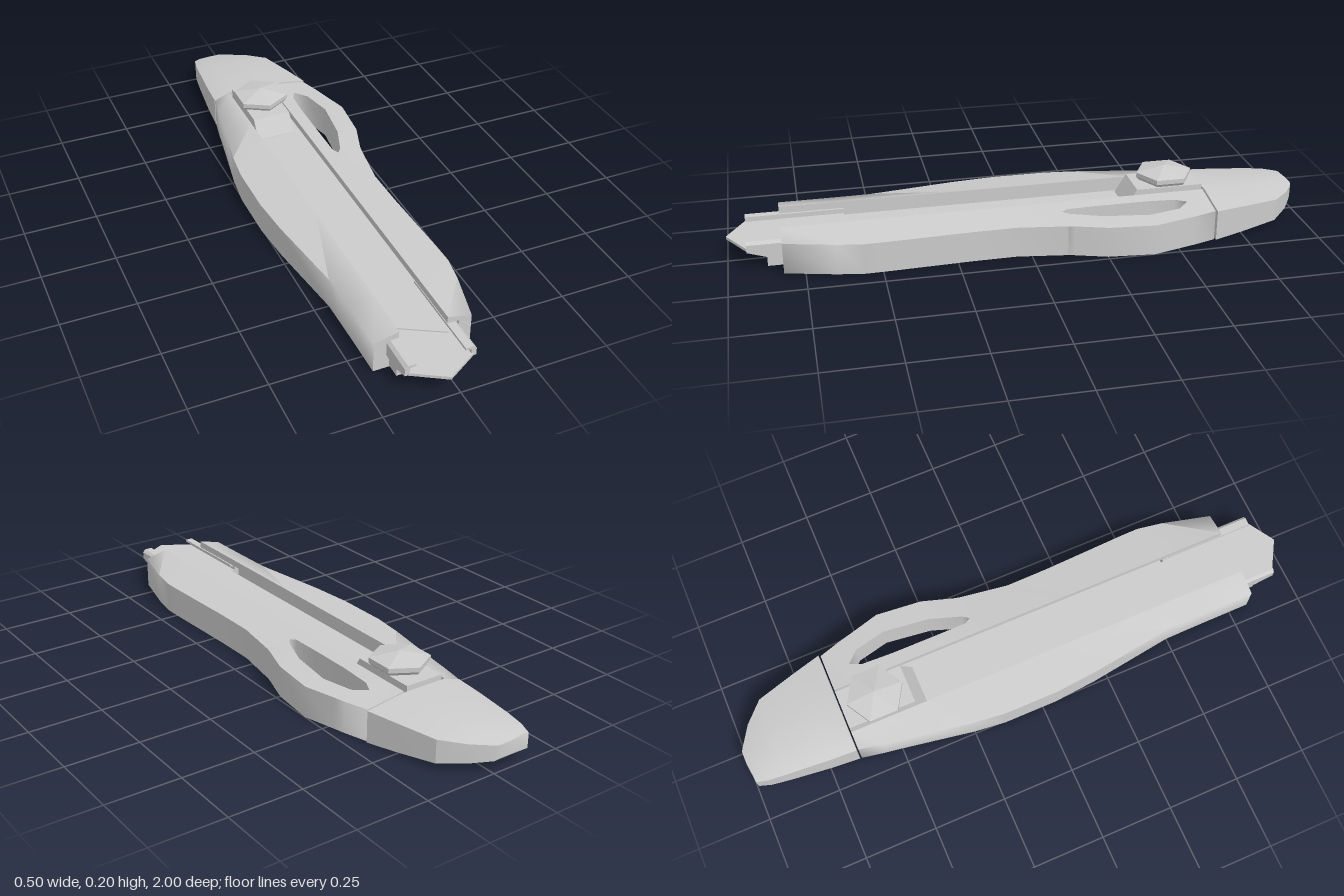
import * as THREE from 'three';
import { mergeGeometries, toCreasedNormals } from 'three/addons/utils/BufferGeometryUtils.js';

const CX = -0.035; // centre line of the blade channel
const grey = new THREE.MeshStandardMaterial({ color: 0xcccccc });

// Joins cross-sections [z, [[x, y], ...]] running towards +z; rings are anticlockwise seen from +z
function loft(sections) {
  const n = sections[0][1].length;
  const pos = [];
  const index = [];
  for (const [z, ring] of sections) for (const [x, y] of ring) pos.push(x, y, z);
  for (let k = 0; k < sections.length - 1; k++) {
    for (let i = 0; i < n; i++) {
      const a = k * n + i, b = k * n + (i + 1) % n;
      index.push(a, b, b + n, a, b + n, a + n);
    }
  }
  const cap = (ring) => THREE.ShapeUtils.triangulateShape(ring.map(([x, y]) => new THREE.Vector2(x, y)), []);
  const last = (sections.length - 1) * n;
  for (const [a, b, c] of cap(sections[0][1])) index.push(a, c, b);
  for (const [a, b, c] of cap(sections[sections.length - 1][1])) index.push(last + a, last + b, last + c);
  const g = new THREE.BufferGeometry();
  g.setAttribute('position', new THREE.Float32BufferAttribute(pos, 3));
  g.setIndex(index);
  return g.toNonIndexed();
}

// Flat plate with an [x, z] outline between two heights
function plate(points, y0, y1) {
  const shape = new THREE.Shape(points.map(([x, z]) => new THREE.Vector2(x, -z)));
  return new THREE.ExtrudeGeometry(shape, { depth: y1 - y0, bevelEnabled: false })
    .rotateX(-Math.PI / 2).translate(0, y0, 0);
}

// Points for one side of the channel plus their mirror image, given as [distance from CX, y]
const mirrored = (half) => [
  ...half.map(([d, y]) => [CX + d, y]),
  ...half.slice().reverse().map(([d, y]) => [CX - d, y]),
];

export function createModel() {
  const model = new THREE.Group();
  const add = (name, geometry, crease = 0.5) => {
    const mesh = new THREE.Mesh(toCreasedNormals(geometry, crease), grey);
    mesh.name = name;
    model.add(mesh);
  };

  // Handle: T-slot section, narrowed beside the finger hole, with a bar around the hole
  const slot = mirrored([[0.08, 0.128], [0.08, 0.104], [0.12, 0.102], [0.12, 0.042]]);
  const topY = (x, R) => 0.128 - 0.02 * (x - 0.045) / (R - 0.045);
  const bodyRing = (L, edge, R) => [
    [L, 0], [edge, 0], [edge, topY(edge, R)], ...slot, [L, 0.108],
  ];
  // z, left edge, right edge
  const rear = [[-0.64, -0.175, 0.185], [-0.56, -0.19, 0.21]];
  const front = [
    [-0.12, -0.255, 0.195], [0.05, -0.255, 0.17], [0.2, -0.242, 0.172],
    [0.5, -0.2, 0.184], [0.56, -0.199, 0.185], [0.65, -0.198, 0.17], [0.82, -0.197, 0.127],
  ];
  // z, left edge, hole inner edge, hole outer edge, right edge
  const hole = [
    [-0.56, -0.19, 0.115, 0.116, 0.21], [-0.52, -0.196, 0.097, 0.155, 0.22],
    [-0.41, -0.215, 0.092, 0.18, 0.25], [-0.25, -0.243, 0.092, 0.16, 0.235],
    [-0.14, -0.255, 0.093, 0.122, 0.2], [-0.12, -0.255, 0.105, 0.106, 0.195],
  ];
  const solid = ([z, L, R]) => [z, bodyRing(L, R, R)];
  const body = loft([
    ...rear.map(solid),
    ...hole.map(([z, L, inner, , R]) => [z, bodyRing(L, inner, R)]),
    ...front.map(solid),
  ]);
  const bar = loft(hole.map(([z, , , outer, R]) => [z, [
    [outer, 0], [R, 0], [R, 0.108], [outer, topY(outer, R)],
  ]]));
  add('handle', mergeGeometries([body, bar]), 1.4);
  add('handleTongue', plate([[-0.145, 0.81], [0.075, 0.81], [0.075, 0.87], [-0.145, 0.87]], 0.006, 0.042));

  // End cap, crowned on top and tapering to a rounded tail
  // z, left, right, bottom, edge height, crown height
  const capStations = [
    [-1, -0.07, -0.02, 0.045, 0.089, 0.091], [-0.992, -0.138, -0.005, 0.036, 0.088, 0.094],
    [-0.95, -0.15, 0.06, 0.03, 0.094, 0.104], [-0.885, -0.157, 0.125, 0.021, 0.1, 0.114],
    [-0.75, -0.169, 0.163, 0.008, 0.105, 0.124], [-0.646, -0.175, 0.19, 0, 0.108, 0.128],
  ];
  add('endCap', loft(capStations.map(([z, L, R, bottom, edge, crown]) => {
    const at = (t) => L + (R - L) * t;
    return [z, [[L, bottom], [R, bottom], [R, edge], [at(0.62), crown], [at(0.17), crown], [L, edge]]];
  })));

  // Metal sheath with curled lips, and its pointed nose
  const sheathRing = (bottom) => mirrored([
    [0.117, bottom], [0.117, 0.09], [0.107, 0.1], [0.08, 0.1],
    [0.08, 0.092], [0.1, 0.09], [0.1, 0.074],
  ]);
  add('sheath', loft([[0.6, sheathRing(0.043)], [0.87, sheathRing(0.043)], [0.935, sheathRing(0.064)]]));
  add('sheathNose', plate([[CX - 0.117, 0.93], [CX + 0.117, 0.93], [CX, 1]], 0.064, 0.074));

  // Blade lying in the channel, cut off at a slant
  add('blade', plate([[-0.115, -0.64], [0.045, -0.64], [0.045, 0.83], [-0.115, 0.74]], 0.044, 0.078));

  // Slider block with a ramped front
  const sliderRing = (top) => [[-0.105, 0.07], [0.033, 0.07], [0.033, top], [-0.105, top]];
  add('slider', loft([[-0.64, sliderRing(0.142)], [-0.405, sliderRing(0.142)], [-0.365, sliderRing(0.079)]]));

  // Six-sided thumb button with a shallow pointed top
  const profile = [[0, 0.15], [0.09, 0.15], [0.099, 0.161], [0.099, 0.177], [0, 0.198]]
    .map(([r, y]) => new THREE.Vector2(r, y));
  add('thumbButton', new THREE.LatheGeometry(profile, 6).translate(CX, 0, -0.52), 0.1);

  return model;
}
